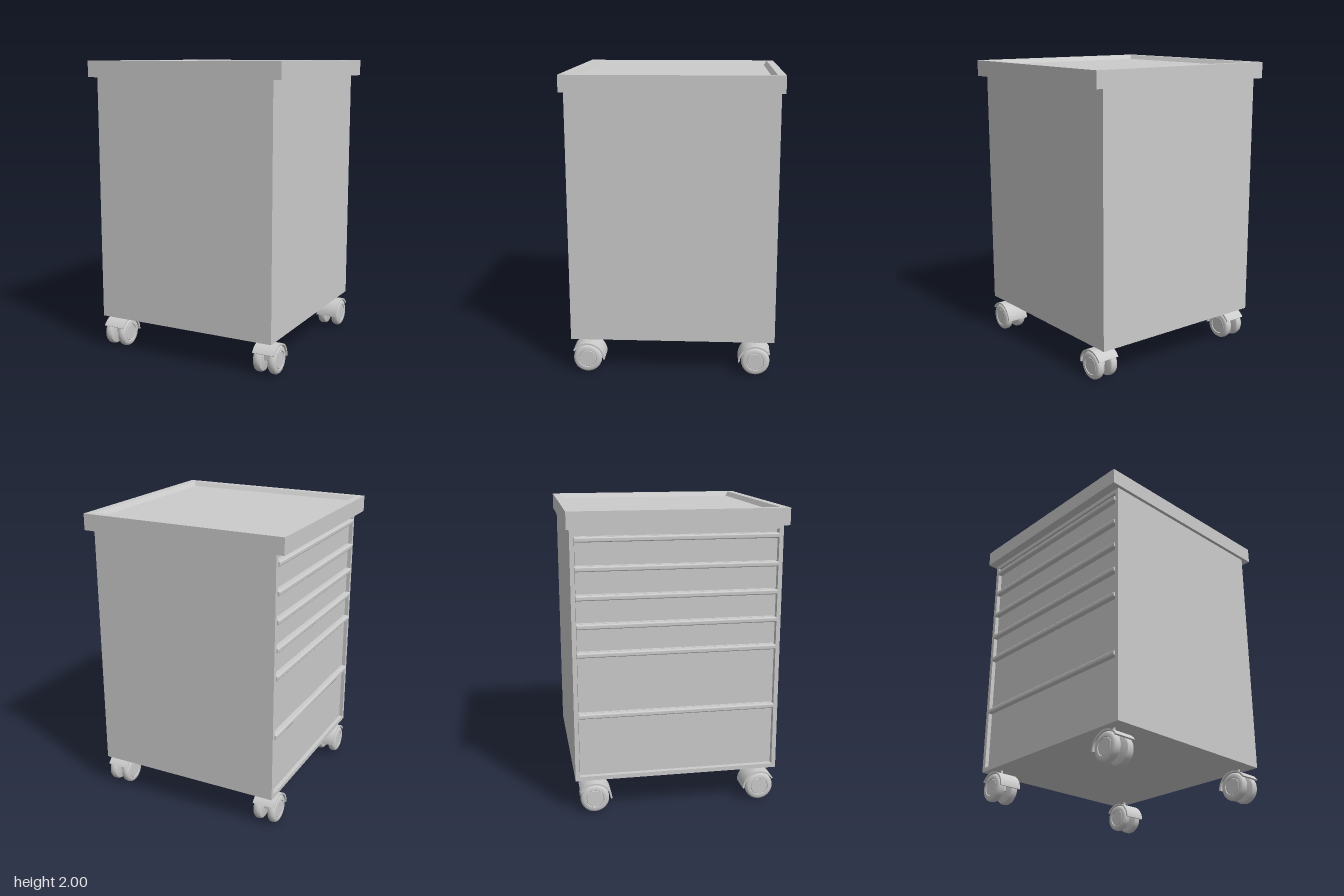
import * as THREE from 'three';
import { toCreasedNormals } from 'three/addons/utils/BufferGeometryUtils.js';

const grey = new THREE.MeshStandardMaterial({ color: 0xcccccc });

function add(parent, name, geometry, x = 0, y = 0, z = 0) {
  const mesh = new THREE.Mesh(geometry, grey);
  mesh.name = name;
  mesh.position.set(x, y, z);
  parent.add(mesh);
  return mesh;
}

// Box given by its minimum and maximum corners
function addBox(parent, name, [x0, y0, z0], [x1, y1, z1]) {
  return add(parent, name, new THREE.BoxGeometry(x1 - x0, y1 - y0, z1 - z0),
    (x0 + x1) / 2, (y0 + y1) / 2, (z0 + z1) / 2);
}

const points = (list) => list.map(([x, y]) => new THREE.Vector2(x, y));

// Tray lid: a square turned from a stepped profile, with a sunken top
function makeTray() {
  const profile = points([[0, 1.89], [0.71, 1.89], [0.71, 2], [0.658, 2], [0.637, 1.97], [0, 1.97]]);
  profile.forEach((p) => { p.x *= Math.SQRT2; });
  const geometry = new THREE.LatheGeometry(profile, 4, Math.PI / 4);
  geometry.scale(1, 1, 0.993);
  return toCreasedNormals(geometry, 0.3);
}

// Wheel with a rounded tread and a slightly stepped hub, axis along x
function makeWheel() {
  const profile = points([
    [0, -0.027], [0.078, -0.027], [0.088, -0.023], [0.094, -0.014], [0.096, 0], [0.094, 0.014],
    [0.088, 0.023], [0.078, 0.028], [0.06, 0.028], [0.057, 0.023], [0.054, 0.026], [0, 0.026],
  ]);
  const geometry = toCreasedNormals(new THREE.LatheGeometry(profile, 40), 0.6);
  return geometry.rotateZ(-Math.PI / 2);
}

// Curved guard over the wheels, reaching lower on its trailing side
function makeGuard() {
  const shape = new THREE.Shape();
  const end = Math.PI * 0.82;
  shape.absarc(0, 0, 0.115, 0, end, false);
  shape.absarc(0, 0, 0.104, end, 0, true);
  shape.closePath();
  const width = 0.156;
  const geometry = new THREE.ExtrudeGeometry(shape, { depth: width, bevelEnabled: false, curveSegments: 20 });
  geometry.translate(0, 0, -width / 2).rotateY(Math.PI / 2);
  return toCreasedNormals(geometry, 0.6);
}

function makeCaster(wheel, guard) {
  const caster = new THREE.Group();
  caster.name = 'caster';
  const axleY = 0.097;
  for (const side of [-1, 1]) {
    const mesh = add(caster, 'wheel', wheel, side * 0.052, axleY, 0);
    if (side < 0) mesh.rotation.y = Math.PI;
  }
  add(caster, 'guard', guard, 0, 0.09, 0);
  addBox(caster, 'fork', [-0.025, 0.085, -0.025], [0.025, 0.198, 0.025]);
  add(caster, 'axle', new THREE.CylinderGeometry(0.015, 0.015, 0.06, 16).rotateZ(Math.PI / 2), 0, axleY, 0);
  add(caster, 'stem', new THREE.CylinderGeometry(0.009, 0.009, 0.06, 16), 0, 0.215, 0);
  return caster;
}

// Rounded pull strip running along z
function makeHandle(length) {
  const shape = new THREE.Shape();
  shape.moveTo(0.03, -0.015);
  shape.lineTo(0.03, 0.015);
  shape.lineTo(-0.007, 0.015);
  shape.quadraticCurveTo(-0.015, 0.015, -0.015, 0.007);
  shape.lineTo(-0.015, -0.007);
  shape.quadraticCurveTo(-0.015, -0.015, -0.007, -0.015);
  shape.closePath();
  const geometry = new THREE.ExtrudeGeometry(shape, { depth: length, bevelEnabled: false, curveSegments: 4 });
  return toCreasedNormals(geometry.translate(0, 0, -length / 2), 0.6);
}

export function createModel() {
  const model = new THREE.Group();
  model.name = 'drawerTrolley';

  add(model, 'trayTop', makeTray());

  // Cabinet shell, open on the -x side
  const bottom = 0.23, top = 1.89, x0 = -0.65, x1 = 0.648, z = 0.683, wall = 0.028;
  const cabinet = new THREE.Group();
  cabinet.name = 'cabinet';
  model.add(cabinet);
  addBox(cabinet, 'sidePanel', [x0, bottom, z - wall], [x1, top, z]);
  addBox(cabinet, 'sidePanel', [x0, bottom, -z], [x1, top, -z + wall]);
  addBox(cabinet, 'endPanel', [x1 - wall, bottom, -z + wall], [x1, top, z - wall]);
  addBox(cabinet, 'floorPanel', [x0, bottom, -z + wall], [x1 - wall, bottom + wall, z - wall]);
  addBox(cabinet, 'topRail', [x0, 1.862, -z + wall], [x1 - wall, top, z - wall]);

  // Drawers, each with a full-width handle along its upper edge
  const inner = z - wall;
  const handle = makeHandle(inner * 2 - 0.004);
  const handleY = [1.82, 1.637, 1.454, 1.27, 1.085, 0.676];
  handleY.forEach((y, i) => {
    const drawer = new THREE.Group();
    drawer.name = 'drawer';
    model.add(drawer);
    const low = i < handleY.length - 1 ? handleY[i + 1] + 0.022 : bottom + wall + 0.004;
    addBox(drawer, 'drawerFront', [-0.625, low, -inner + 0.004], [-0.595, y + 0.016, inner - 0.004]);
    add(drawer, 'handle', handle, -0.645, y, 0);
  });
  addBox(cabinet, 'drawerBacking', [-0.594, bottom + wall, -inner], [-0.58, 1.862, inner]);

  // Four twin-wheel casters, guards trailing inward
  const wheel = makeWheel(), guard = makeGuard();
  for (const x of [-0.577, 0.585]) {
    for (const cz of [0.572, -0.557]) {
      const caster = makeCaster(wheel, guard);
      caster.position.set(x, 0, cz);
      if (cz < 0) caster.rotation.y = Math.PI;
      model.add(caster);
    }
  }
  return model;
}
